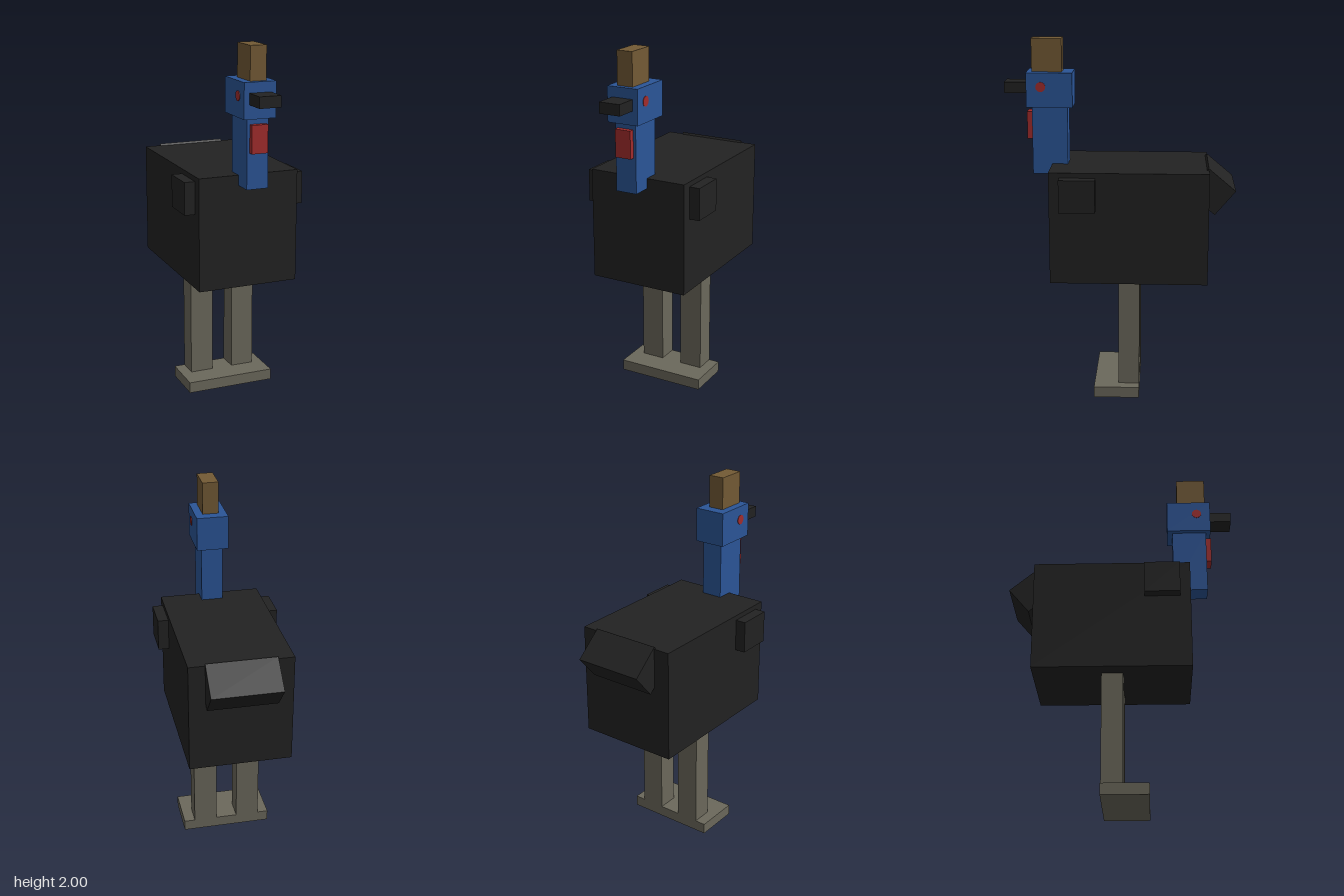
import * as THREE from 'three';

const material = (name, color) => {
  const m = new THREE.MeshStandardMaterial({ color });
  m.name = name;
  return m;
};

export function createModel() {
  const black = material('blackFeathers', 0x222222);
  const blue = material('blueSkin', 0x2b5597);
  const red = material('redSkin', 0xa32c2c);
  const brown = material('brownCrest', 0x735a35);
  const grey = material('greyLegs', 0x6b685b);

  const model = new THREE.Group();
  model.name = 'bird';

  const add = (name, geometry, mat, x, y, z) => {
    const mesh = new THREE.Mesh(geometry, mat);
    mesh.name = name;
    mesh.position.set(x, y, z);
    model.add(mesh);
    return mesh;
  };
  // Box given by its lower and upper limits on each axis
  const box = (name, mat, [x0, x1], [y0, y1], [z0, z1]) =>
    add(name, new THREE.BoxGeometry(x1 - x0, y1 - y0, z1 - z0), mat,
      (x0 + x1) / 2, (y0 + y1) / 2, (z0 + z1) / 2);

  // Body and tilted tail
  box('body', black, [-0.283, 0.283], [0.692, 1.313], [-0.485, 0.378]);
  const tail = add('tail', new THREE.BoxGeometry(0.385, 0.174, 0.194), black, 0, 1.195, -0.501);
  tail.rotation.x = -0.7;

  // Neck, head and face
  box('neck', blue, [-0.06, 0.06], [1.257, 1.63], [0.29, 0.485]);
  box('head', blue, [-0.089, 0.089], [1.63, 1.82], [0.26, 0.512]);
  box('crest', brown, [-0.045, 0.045], [1.82, 2], [0.32, 0.485]);
  box('beak', black, [-0.06, 0.06], [1.705, 1.765], [0.512, 0.634]);
  box('wattle', red, [-0.045, 0.045], [1.45, 1.6], [0.485, 0.514]);

  // Foot slab
  box('feet', grey, [-0.253, 0.253], [0, 0.062], [-0.112, 0.142]);

  // Paired parts
  for (const [side, s] of [['left', 1], ['right', -1]]) {
    const span = (a, b) => (s > 0 ? [a, b] : [-b, -a]);
    box(side + 'Wing', black, span(0.283, 0.342), [1.107, 1.286], [0.125, 0.32]);
    box(side + 'Leg', grey, span(0.06, 0.192), [0.062, 0.692], [-0.112, 0.005]);
    const eye = add(side + 'Eye', new THREE.CylinderGeometry(0.027, 0.027, 0.004, 16), red,
      s * 0.09, 1.743, 0.433);
    eye.rotation.z = -s * Math.PI / 2;
  }
  return model;
}
